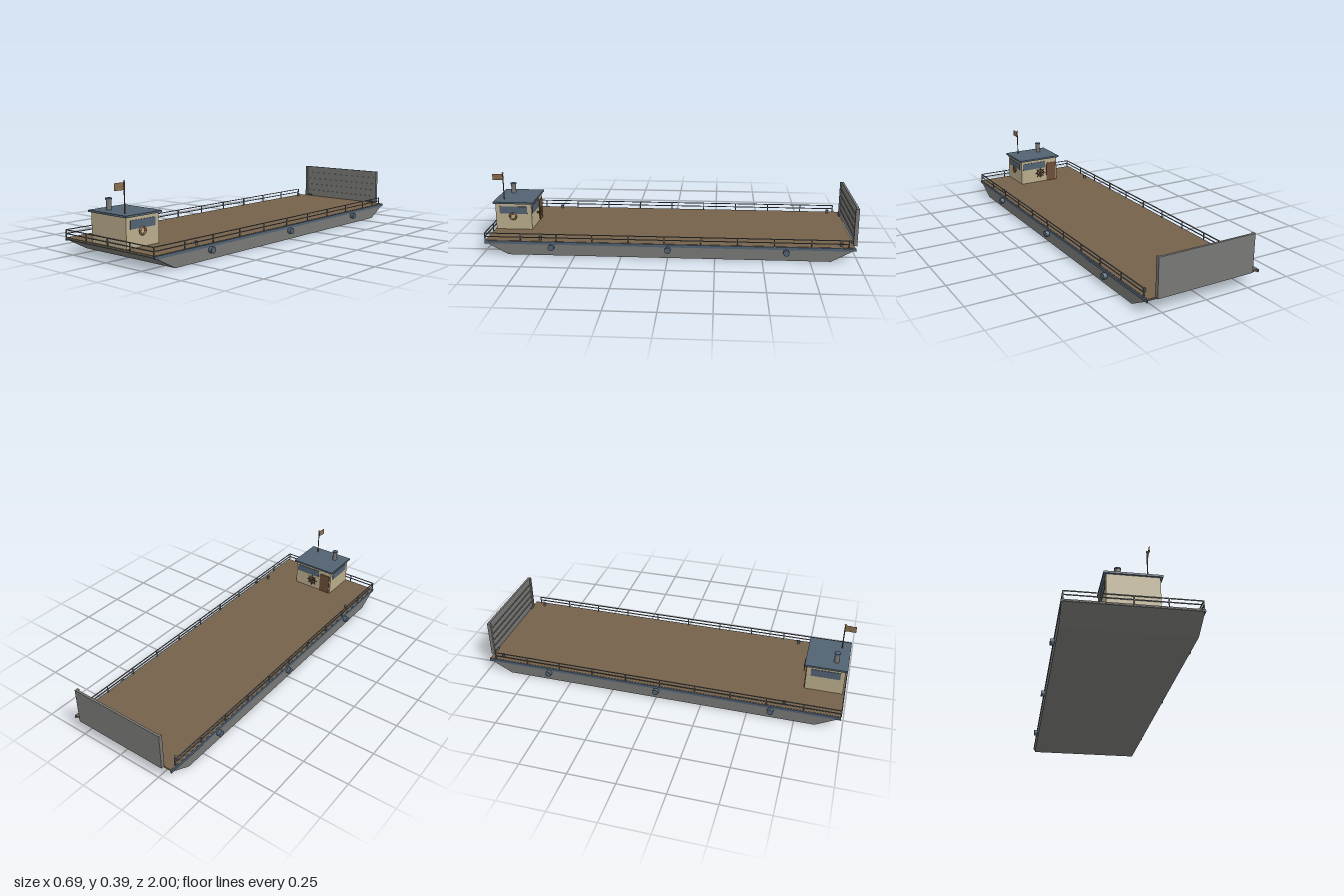
import * as THREE from 'three';

const mat = (name, color, side = THREE.FrontSide) => {
  const m = new THREE.MeshStandardMaterial({ color, side });
  m.name = name;
  return m;
};

export function createModel() {
  const steel = mat('steel grey', 0x777775);
  const rail = mat('rail grey', 0x66696b);
  const blue = mat('slate blue', 0x526272);
  const wood = mat('deck brown', 0x75614a);
  const cream = mat('cabin cream', 0xb9ac8b);
  const door = mat('door brown', 0x6b4c38);
  const ring = mat('ring rust', 0x8c5c40);
  const cloth = mat('flag tan', 0x8a6c4c, THREE.DoubleSide);

  const model = new THREE.Group();
  model.name = 'barge';
  const group = (name, parent = model) => {
    const g = new THREE.Group();
    g.name = name;
    parent.add(g);
    return g;
  };
  const add = (parent, name, geo, m, x = 0, y = 0, z = 0) => {
    const mesh = new THREE.Mesh(geo, m);
    mesh.name = name;
    mesh.position.set(x, y, z);
    parent.add(mesh);
    return mesh;
  };
  // Box given by its limits on each axis
  const box = (parent, name, m, [x0, x1], [y0, y1], [z0, z1]) =>
    add(parent, name, new THREE.BoxGeometry(x1 - x0, y1 - y0, z1 - z0), m,
      (x0 + x1) / 2, (y0 + y1) / 2, (z0 + z1) / 2);
  const cyl = (parent, name, m, r, h, x, y, z, sides = 12) =>
    add(parent, name, new THREE.CylinderGeometry(r, r, h, sides), m, x, y, z);

  // Hull with raked ends, side profile extruded across the beam
  const profile = new THREE.Shape([
    [-0.86, 0], [0.86, 0], [0.982, 0.066], [0.985, 0.073], [-0.985, 0.073], [-0.982, 0.066],
  ].map(([z, y]) => new THREE.Vector2(z, y)));
  const hullGeo = new THREE.ExtrudeGeometry(profile, { depth: 0.644, bevelEnabled: false });
  hullGeo.rotateY(-Math.PI / 2).translate(0.322, 0, 0);
  add(model, 'hull', hullGeo, steel);
  box(model, 'deck', wood, [-0.318, 0.318], [0.07, 0.077], [-0.984, 0.984]);

  // Rub rails, fenders, bollards and railings on both sides
  for (const s of [-1, 1]) {
    const side = group(s > 0 ? 'leftSide' : 'rightSide');
    add(side, 'rubRail', new THREE.BoxGeometry(0.007, 0.015, 1.975), blue, s * 0.3215, 0.068, 0);
    for (const z of [-0.625, 0, 0.625])
      cyl(side, 'fender', blue, 0.0165, 0.022, s * 0.332, 0.047, z, 16).rotation.z = Math.PI / 2;
    for (const z of [-0.915, 0.69]) {
      cyl(side, 'bollard', rail, 0.007, 0.018, s * 0.291, 0.085, z);
      cyl(side, 'bollardCap', rail, 0.009, 0.004, s * 0.291, 0.094, z);
    }
    for (let i = 0; i <= 10; i++)
      add(side, 'railPost', new THREE.BoxGeometry(0.005, 0.043, 0.005), rail, s * 0.317, 0.0965, 0.987 - i * 0.1937);
    for (const y of [0.097, 0.1165])
      add(side, 'sideRail', new THREE.BoxGeometry(0.005, 0.004, 1.94), rail, s * 0.317, y, 0.0185);
  }

  // Front railing
  const frontRailing = group('frontRailing');
  for (const y of [0.097, 0.1165])
    add(frontRailing, 'frontRail', new THREE.BoxGeometry(0.634, 0.004, 0.005), rail, 0, y, 0.987);
  for (const x of [-0.158, 0, 0.158])
    add(frontRailing, 'railPost', new THREE.BoxGeometry(0.005, 0.043, 0.005), rail, x, 0.0965, 0.987);

  // Raised loading ramp with ribs on its inner face
  const ramp = group('ramp');
  box(ramp, 'rampPlate', steel, [-0.275, 0.275], [0.073, 0.277], [-1, -0.988]);
  for (const s of [-1, 1]) {
    add(ramp, 'rampEdge', new THREE.BoxGeometry(0.012, 0.204, 0.008), steel, s * 0.269, 0.175, -0.984);
    cyl(ramp, 'rampHinge', rail, 0.005, 0.03, s * 0.237, 0.084, -0.978).rotation.z = Math.PI / 2;
  }
  for (let i = 1; i <= 4; i++)
    add(ramp, 'rampRib', new THREE.BoxGeometry(0.526, 0.006, 0.005), steel, 0, 0.075 + i * 0.04, -0.986);

  // Cabin with side and rear windows
  const cabin = group('cabin');
  box(cabin, 'cabinWalls', cream, [-0.125, 0.125], [0.075, 0.227], [0.775, 0.978]);
  box(cabin, 'roof', blue, [-0.137, 0.137], [0.226, 0.236], [0.763, 0.988]);
  for (const s of [-1, 1])
    add(cabin, 'sideWindow', new THREE.BoxGeometry(0.006, 0.042, 0.155), blue, s * 0.125, 0.188, 0.877);
  box(cabin, 'rearWindow', blue, [-0.04, 0.115], [0.167, 0.209], [0.772, 0.776]);
  box(cabin, 'door', door, [-0.117, -0.05], [0.077, 0.195], [0.771, 0.776]);

  // Life ring on the left wall
  add(cabin, 'lifeRing', new THREE.TorusGeometry(0.0175, 0.005, 8, 20), ring, 0.129, 0.152, 0.88)
    .rotation.y = Math.PI / 2;

  // Steering wheel behind the cabin
  const wheel = group('steeringWheel', cabin);
  wheel.position.set(0, 0.14, 0.757);
  add(wheel, 'wheelRim', new THREE.TorusGeometry(0.022, 0.003, 6, 20), door);
  for (let i = 0; i < 4; i++)
    cyl(wheel, 'wheelSpoke', door, 0.002, 0.068, 0, 0, 0, 6).rotation.z = i * Math.PI / 4;
  cyl(wheel, 'wheelHub', door, 0.005, 0.024, 0, 0, 0.008).rotation.x = Math.PI / 2;

  // Chimney
  cyl(cabin, 'chimney', steel, 0.0135, 0.054, -0.063, 0.262, 0.922, 16);
  cyl(cabin, 'chimneyCap', blue, 0.0165, 0.007, -0.063, 0.2905, 0.922, 16);

  // Flagpole with a gently waving flag
  cyl(cabin, 'flagpole', door, 0.003, 0.148, 0.074, 0.309, 0.94, 8);
  add(cabin, 'poleFinial', new THREE.SphereGeometry(0.0055, 10, 8), cream, 0.074, 0.3865, 0.94);
  const flagGeo = new THREE.PlaneGeometry(0.058, 0.036, 8, 1).rotateY(-Math.PI / 2);
  const p = flagGeo.attributes.position;
  for (let i = 0; i < p.count; i++) p.setX(i, 0.0015 * Math.sin((p.getZ(i) + 0.029) * 108));
  flagGeo.computeVertexNormals();
  add(cabin, 'flag', flagGeo, cloth, 0.074, 0.364, 0.971);

  return model;
}
